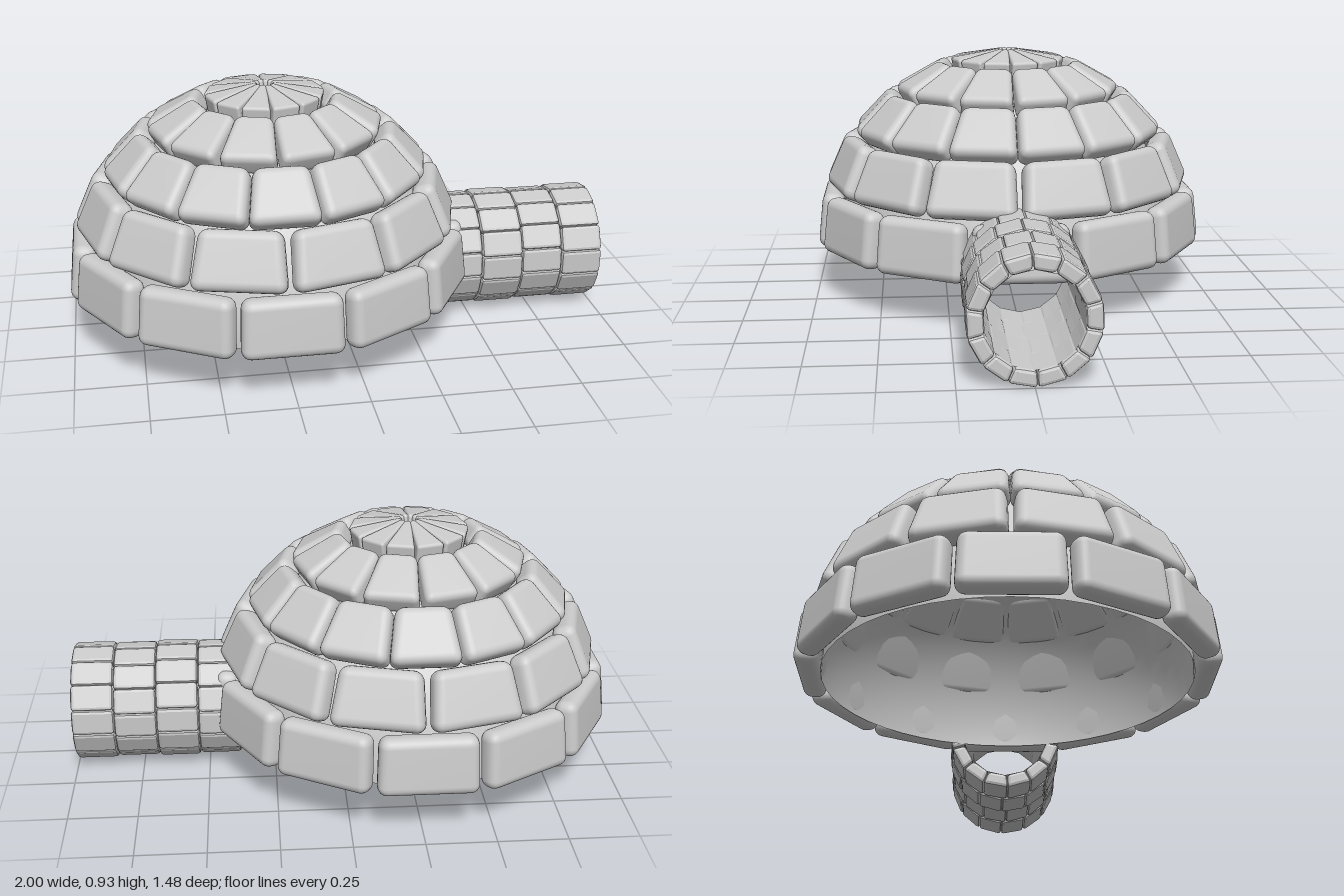
import * as THREE from 'three';
import { mergeVertices } from 'three/addons/utils/BufferGeometryUtils.js';
import { RoundedBoxGeometry } from 'three/addons/geometries/RoundedBoxGeometry.js';

const DOME_X = -0.26;
const BASE_Y = 0.18;
const OUTER = 0.74;
const rad = THREE.MathUtils.degToRad;

// Rounded block whose width is set by a rule of the vertex position
function block(h, d, radius, segments, widthAt) {
  const geo = new RoundedBoxGeometry(0.2, h, d, segments, radius);
  const p = geo.attributes.position;
  for (let i = 0; i < p.count; i++) {
    const x = p.getX(i);
    const w = widthAt(p.getY(i) / h + 0.5, p.getZ(i) / d + 0.5);
    // keep the rounded edge its own size and move only the flat core
    const core = Math.max(-0.1 + radius, Math.min(0.1 - radius, x));
    p.setX(i, core * (w / 2 - radius) / (0.1 - radius) + (x - core));
  }
  geo.deleteAttribute('normal');
  geo.deleteAttribute('uv');
  const merged = mergeVertices(geo, 1e-5);
  merged.computeVertexNormals();
  return merged;
}

export function createModel() {
  const model = new THREE.Group();
  const material = new THREE.MeshStandardMaterial({ color: 0xcccccc });
  const flat = new THREE.MeshStandardMaterial({ color: 0xcccccc, flatShading: true });
  const flatDouble = flat.clone();
  flatDouble.side = THREE.DoubleSide;

  // Thin inner shell that closes the gaps between the blocks
  const shell = new THREE.Mesh(
    new THREE.SphereGeometry(0.658, 48, 20, 0, Math.PI * 2, 0, Math.PI / 2),
    new THREE.MeshStandardMaterial({ color: 0xcccccc, side: THREE.DoubleSide })
  );
  shell.name = 'innerShell';
  shell.position.set(DOME_X, BASE_Y, 0);
  model.add(shell);

  // Rings of tapered blocks, from the ground up to the cap
  const rings = [
    { name: 'baseRing', n: 12, shift: 0, elev: 8.3, tilt: 6, h: 0.212, d: 0.085, bottom: 0.355, top: 0.342, r: 0.035 },
    { name: 'secondRing', n: 12, shift: 0.5, elev: 26.5, tilt: 23, h: 0.21, d: 0.09, bottom: 0.335, top: 0.285, r: 0.035 },
    { name: 'thirdRing', n: 14, shift: 0, elev: 44.5, tilt: 43, h: 0.208, d: 0.095, bottom: 0.254, top: 0.192, r: 0.033 },
    { name: 'fourthRing', n: 12, shift: 0.5, elev: 62.5, tilt: 60, h: 0.205, d: 0.095, bottom: 0.205, top: 0.132, r: 0.028 },
    { name: 'capRing', n: 12, shift: 0.5, elev: 80.5, tilt: 80, h: 0.19, d: 0.095, bottom: 0.105, top: 0.024, r: 0.012 },
  ];
  for (const { name, n, shift, elev, tilt, h, d, bottom, top, r } of rings) {
    const ring = new THREE.Group();
    ring.name = name;
    ring.position.set(DOME_X, BASE_Y, 0);
    const geo = block(h, d, r, 3, (v) => bottom + (top - bottom) * v);
    geo.rotateX(-rad(tilt));
    const dist = OUTER - d / 2;
    geo.translate(0, dist * Math.sin(rad(elev)), dist * Math.cos(rad(elev)));
    for (let i = 0; i < n; i++) {
      const mesh = new THREE.Mesh(geo, material);
      mesh.name = 'domeBlock';
      mesh.rotation.y = ((i + shift) / n) * Math.PI * 2;
      ring.add(mesh);
    }
    model.add(ring);
  }

  // Entrance tunnel: four rings of wedge blocks around the x axis
  const SIDES = 14, RINGS = 4, START = 0.378, LENGTH = 0.622;
  const INNER = 0.16;
  const step = LENGTH / RINGS;
  const half = Math.tan(Math.PI / SIDES);
  const tunnel = new THREE.Group();
  tunnel.name = 'entranceTunnel';
  tunnel.position.y = 0.219;
  for (let k = 0; k < RINGS; k++) {
    const outer = k % 2 ? 0.217 : 0.213;
    const geo = block(step, outer - INNER, 0.013, 1,
      (v, t) => 2 * half * (INNER + (outer - INNER) * t));
    geo.translate(0, 0, (outer + INNER) / 2);
    geo.rotateZ(-Math.PI / 2);
    for (let i = 0; i < SIDES; i++) {
      const mesh = new THREE.Mesh(geo, flat);
      mesh.name = 'tunnelBlock';
      mesh.position.x = START + (k + 0.5) * step;
      mesh.rotation.x = (i / SIDES) * Math.PI * 2 + rad(k % 2 ? 2.5 : -2.5);
      tunnel.add(mesh);
    }
  }

  // Faceted lining that closes the tunnel's inner wall
  const liningRadius = INNER / Math.cos(Math.PI / SIDES);
  const lining = new THREE.Mesh(
    new THREE.CylinderGeometry(liningRadius, liningRadius, LENGTH - 0.02, SIDES, 1, true, Math.PI / SIDES),
    flatDouble
  );
  lining.name = 'tunnelLining';
  lining.rotation.z = -Math.PI / 2;
  lining.position.x = START + LENGTH / 2;
  tunnel.add(lining);
  model.add(tunnel);
  return model;
}
